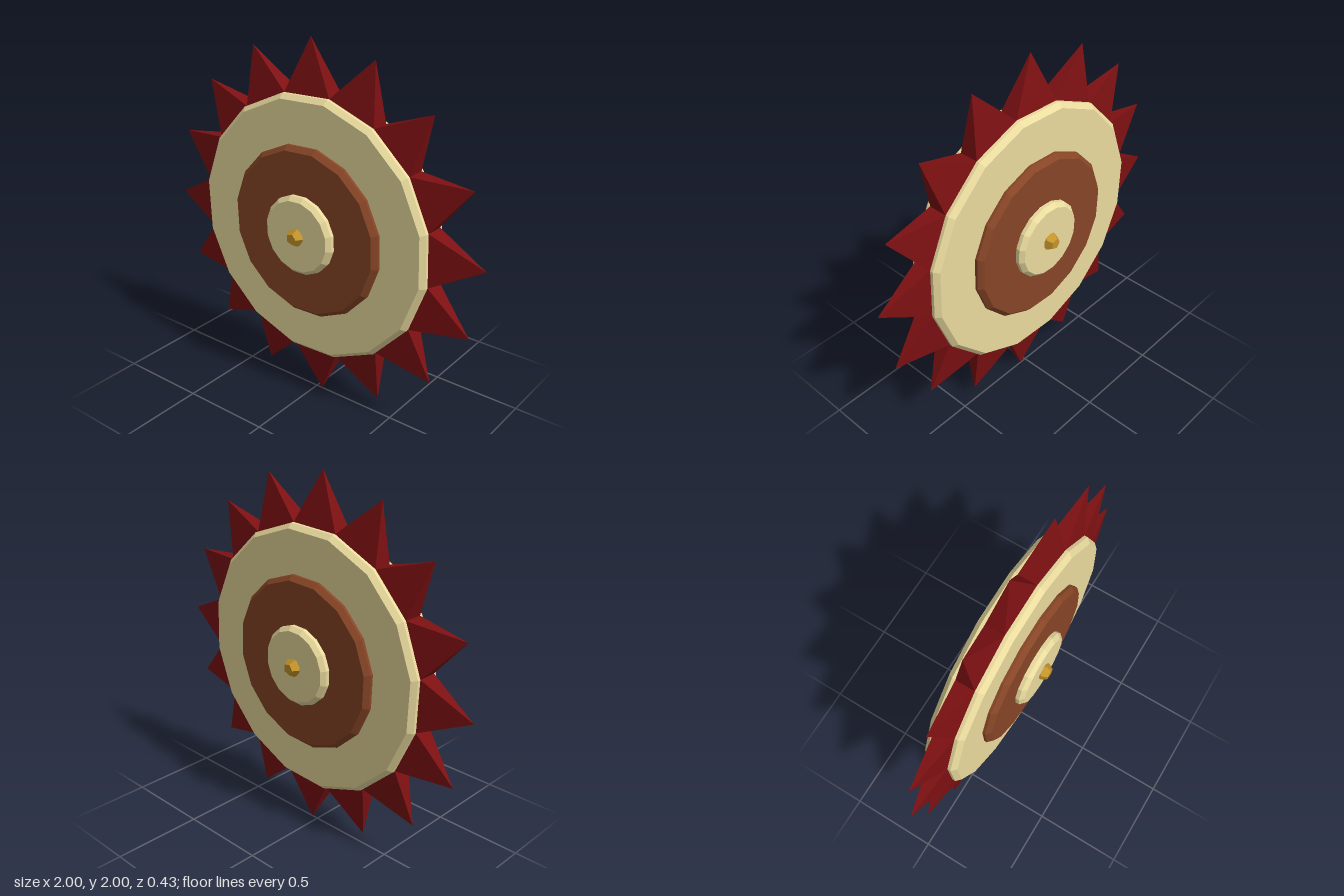
import * as THREE from 'three';

const SIDES = 16;
const STEP = (Math.PI * 2) / SIDES;
const TURN = THREE.MathUtils.degToRad(2.2); // slight roll of the whole wheel

const mat = (color) => new THREE.MeshStandardMaterial({ color, flatShading: true });

// Chamfered 16-sided disc lying across the z axis
function disc(name, radius, halfDepth, chamfer, material) {
  const profile = [
    [0, -halfDepth], [radius - chamfer, -halfDepth], [radius, -halfDepth + chamfer],
    [radius, halfDepth - chamfer], [radius - chamfer, halfDepth], [0, halfDepth],
  ].map(([x, y]) => new THREE.Vector2(x, y));
  const geometry = new THREE.LatheGeometry(profile, SIDES);
  geometry.rotateX(Math.PI / 2);
  geometry.rotateZ(STEP / 2);
  const mesh = new THREE.Mesh(geometry, material);
  mesh.name = name;
  return mesh;
}

export function createModel() {
  const model = new THREE.Group();
  model.name = 'spikedWheel';
  const wheel = new THREE.Group();
  wheel.name = 'wheel';
  wheel.position.y = 1;
  wheel.rotation.z = TURN;
  model.add(wheel);

  const cream = mat(0xeadb9e);
  const brown = mat(0x874526);
  const red = mat(0x7d1012);
  const gold = mat(0xc4942a);

  // Stacked discs, each smaller and thicker than the last
  wheel.add(
    disc('mainDisc', 0.73, 0.095, 0.025, cream),
    disc('middleDisc', 0.473, 0.135, 0.025, brown),
    disc('hubDisc', 0.217, 0.178, 0.022, cream),
  );

  // Ring of flat four-sided spikes, one on each side of the main disc
  const apothem = 0.73 * Math.cos(STEP / 2);
  const halfBase = 0.73 * Math.sin(STEP / 2);
  const height = 1.0 - apothem;
  const spikeGeometry = new THREE.ConeGeometry(Math.SQRT2, height, 4, 1, false, Math.PI / 4);
  spikeGeometry.scale(halfBase, 1, 0.052);
  spikeGeometry.translate(0, apothem + height / 2, 0);
  const spikes = new THREE.Group();
  spikes.name = 'spikes';
  for (let i = 0; i < SIDES; i++) {
    const spike = new THREE.Mesh(spikeGeometry, red);
    spike.name = 'spike';
    spike.rotation.z = i * STEP;
    spikes.add(spike);
  }
  wheel.add(spikes);

  // Faceted studs with a face turned outward at both ends of the hub
  const studGeometry = new THREE.DodecahedronGeometry(0.051);
  studGeometry.rotateY(-Math.atan(2 / (1 + Math.sqrt(5))));
  for (const side of [1, -1]) {
    const stud = new THREE.Mesh(studGeometry, gold);
    stud.name = side > 0 ? 'frontStud' : 'backStud';
    stud.position.z = side * 0.176;
    wheel.add(stud);
  }
  return model;
}
